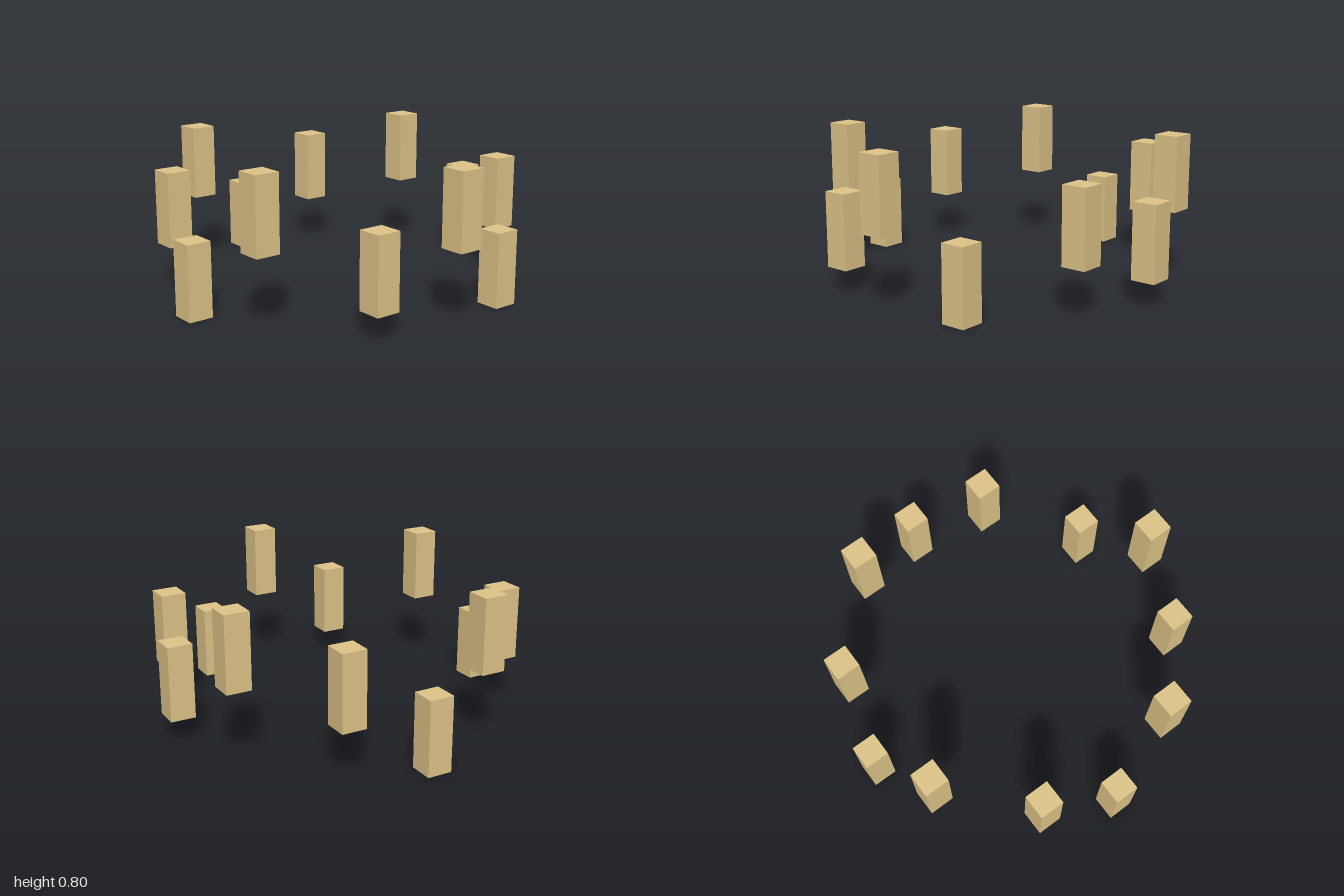
import * as THREE from 'three';

// Everything sits on a grid whose cell is one block width
const U = 2 / 15;

// Ring of floating blocks: [x, z, base height] in grid cells
const BLOCKS = [
  [0, 7, 0], [3, 6, 3], [6, 3, 1], [7, 0, 3],
  [6, -3, 0], [3, -6, 2], [0, -7, 1], [-3, -6, 3],
  [-6, -3, 2], [-7, 0, 0], [-6, 3, 3], [-3, 6, 2],
];

export function createModel() {
  const group = new THREE.Group();
  group.name = 'blockRing';
  const material = new THREE.MeshStandardMaterial({ color: 0xdec488 });
  const geometry = new THREE.BoxGeometry(U, 3 * U, U);

  BLOCKS.forEach(([x, z, base], i) => {
    const block = new THREE.Mesh(geometry, material);
    block.name = `block${i + 1}`;
    block.position.set(x * U, (base + 1.5) * U, z * U);
    group.add(block);
  });
  return group;
}
